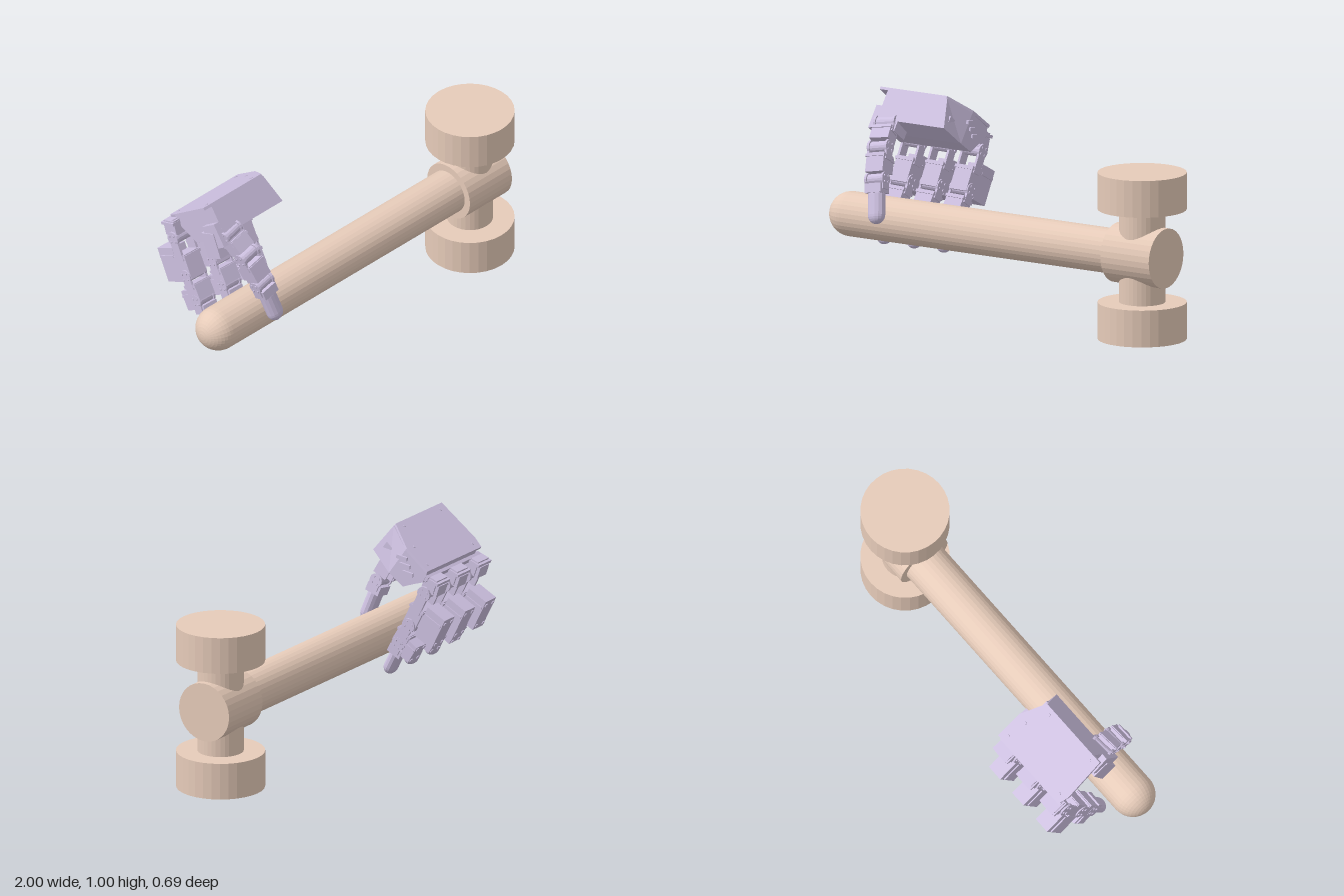
import * as THREE from 'three';

const tan = new THREE.MeshStandardMaterial({ color: 0xe6cbb9, flatShading: true });
const lilac = new THREE.MeshStandardMaterial({ color: 0xcdc0e0, flatShading: true });
const V = (x, y, z) => new THREE.Vector3(x, y, z);

function add(parent, name, geo, mat, x = 0, y = 0, z = 0) {
  const m = new THREE.Mesh(geo, mat);
  m.name = name;
  m.position.set(x, y, z);
  parent.add(m);
  return m;
}
const box = (p, name, sx, sy, sz, x, y, z) =>
  add(p, name, new THREE.BoxGeometry(sx, sy, sz), lilac, x, y, z);
const pin = (p, name, r, len, x, y, z, sides = 16) =>
  add(p, name, new THREE.CylinderGeometry(r, r, len, sides).rotateZ(Math.PI / 2), lilac, x, y, z);

// Group at a whose y axis runs to b; z points to the outer side of a hanging finger
function bone(parent, name, a, b) {
  const y = b.clone().sub(a);
  const length = y.length();
  y.normalize();
  const x = V(1, 0, 0).addScaledVector(y, -y.x).normalize();
  const g = new THREE.Group();
  g.name = name;
  g.position.copy(a);
  g.quaternion.setFromRotationMatrix(new THREE.Matrix4().makeBasis(x, y, V(0, 0, 0).crossVectors(x, y)));
  parent.add(g);
  return { g, length };
}

// Hinge with side cheeks and horn discs at the start of a bone
function hinge(g, w, r, reach) {
  pin(g, 'hingePin', r * 0.8, w * 0.86, 0, 0, 0);
  for (const s of [-1, 1]) {
    pin(g, 'hornDisc', r, 0.012, s * w * 0.46, 0, 0);
    box(g, 'cheek', 0.012, reach, r * 1.5, s * w * 0.46, reach / 2, 0);
    for (let i = 0; i < 4; i++) {
      const t = Math.PI * (i / 2 + 0.25);
      pin(g, 'hornBolt', 0.006, 0.006, s * (w * 0.46 + 0.008), Math.cos(t) * r * 0.6, Math.sin(t) * r * 0.6, 6);
    }
  }
}

// Link with a body block and an optional motor; spans are [start, end] along the bone
function link(parent, name, a, b, o) {
  const { g } = bone(parent, name, a, b);
  hinge(g, o.w, 0.036, o.body[0] + 0.03);
  const [b0, b1] = o.body;
  box(g, 'body', o.w * 0.92, b1 - b0, 0.075, 0, (b0 + b1) / 2, 0);
  box(g, 'bodyFlange', o.w, 0.014, 0.085, 0, b0 + 0.012, 0);
  if (o.motor) {
    const [m0, m1, n0, n1] = o.motor;
    const my = (m0 + m1) / 2, mz = (n0 + n1) / 2;
    box(g, 'motor', o.w * 0.8, m1 - m0, n1 - n0, 0, my, mz);
    box(g, 'motorFlange', o.w * 0.92, 0.012, (n1 - n0) * 0.9, 0, m0 + (m1 - m0) * 0.25, mz);
    box(g, 'motorMount', o.w * 0.7, (m1 - m0) * 0.5, 0.03, 0, my, n0 - 0.005);
    for (const s of [-1, 1])
      for (const t of [-1, 1])
        box(g, 'motorScrew', 0.014, 0.014, 0.01, s * o.w * 0.26, my + t * (m1 - m0) * 0.36, n1);
  }
  return g;
}

// Rounded end link
function tip(parent, name, a, b, w) {
  const { g, length } = bone(parent, name, a, b);
  hinge(g, w, 0.034, 0.05);
  box(g, 'tipBase', w * 0.9, 0.045, 0.075, 0, 0.045, 0);
  const r = w * 0.44;
  const cap = add(g, 'tipPad', new THREE.CapsuleGeometry(r, length - 0.05 - r, 6, 14), lilac, 0, (length + 0.05) / 2, 0);
  cap.scale.z = 0.8;
  return g;
}

function buildHammer() {
  const g = new THREE.Group();
  g.name = 'hammer';
  g.position.set(0, 0.404, 0.137);
  const bar = (name, r, x0, x1) =>
    add(g, name, new THREE.CylinderGeometry(r, r, x1 - x0, 32).rotateZ(Math.PI / 2), tan, (x0 + x1) / 2);
  bar('handle', 0.108, -0.892, 0.66);
  add(g, 'handleEnd', new THREE.SphereGeometry(0.108, 32, 10, 0, Math.PI * 2, 0, Math.PI / 2).rotateZ(Math.PI / 2), tan, -0.892);
  bar('collar', 0.144, 0.645, 0.925);
  add(g, 'neck', new THREE.CylinderGeometry(0.11, 0.11, 0.5, 32), tan, 0.787);
  for (const s of [-1, 1])
    add(g, 'hammerFace', new THREE.CylinderGeometry(0.212, 0.212, 0.178, 32), tan, 0.787, s * 0.314);
  return g;
}

function buildPalm() {
  const g = new THREE.Group();
  g.name = 'palm';
  g.position.set(0, 1.0, -0.02);
  g.rotation.x = -0.626;

  // Side profile run across the hand, narrowed towards the wrist
  const side = [[0, 0.012], [0.14, 0.012], [0.295, 0.012], [0.305, 0.07], [0.27, 0.12], [0.237, 0.172], [0.14, 0.176], [0, 0.165]];
  const shape = new THREE.Shape(side.map(([u, v]) => new THREE.Vector2(-u, -v)));
  const body = new THREE.ExtrudeGeometry(shape, { depth: 0.41, bevelEnabled: false });
  body.rotateY(-Math.PI / 2).translate(-0.378, 0, 0);
  const p = body.attributes.position;
  for (let i = 0; i < p.count; i++) {
    const wrist = Math.max(0, 1 + p.getZ(i) / 0.14);
    const high = 1 + p.getY(i) / 0.18;
    if (p.getX(i) > -0.5) p.setX(i, p.getX(i) - wrist * (0.02 + 0.05 * high));
  }
  body.computeVertexNormals();
  add(g, 'palmBody', body, lilac);

  // Cover plate overhanging the thumb side
  const cover = new THREE.Shape([[-0.835, 0], [-0.45, 0], [-0.378, 0.14], [-0.37, 0.295], [-0.82, 0.295], [-0.835, 0.24]]
    .map(([x, u]) => new THREE.Vector2(x, u)));
  add(g, 'backPlate', new THREE.ExtrudeGeometry(cover, { depth: 0.014, bevelEnabled: false }).rotateX(-Math.PI / 2), lilac, 0, -0.014, 0);
  for (const [x, u] of [[-0.79, 0.03], [-0.49, 0.03], [-0.79, 0.26], [-0.41, 0.26], [-0.43, 0.15]])
    add(g, 'plateScrew', new THREE.CylinderGeometry(0.008, 0.008, 0.006, 8), lilac, x, 0, -u);

  // Outer side relief and edge rail above the knuckles
  for (let i = 0; i < 3; i++)
    box(g, 'sideRib', 0.014, 0.018, 0.06, -0.375, -0.055 - i * 0.02, -0.15 - i * 0.035).rotation.x = 0.5;
  box(g, 'sideBoss', 0.03, 0.055, 0.05, -0.425, -0.115, -0.055);
  box(g, 'knuckleRail', 0.44, 0.03, 0.02, -0.6, -0.045, -0.305);
  return g;
}

function buildFinger(x) {
  const g = new THREE.Group();
  g.name = 'finger';
  const w = 0.105;
  const pts = [V(x, 0.705, -0.225), V(x - 0.004, 0.53, -0.135), V(x - 0.008, 0.42, -0.065), V(x - 0.012, 0.268, 0.014)];

  // Knuckle bracket reaching down from the palm edge
  const { g: k } = bone(g, 'knuckle', V(x, 0.79, -0.255), pts[0]);
  box(k, 'knuckleBlock', w * 0.85, 0.075, 0.07, 0, 0.035, 0.008);
  box(k, 'knuckleCap', w, 0.014, 0.085, 0, 0.012, 0.014);
  box(k, 'knuckleMotor', w * 0.7, 0.06, 0.03, 0, 0.05, 0.045);

  link(g, 'lowerLink', pts[0], pts[1], { w, body: [0.085, 0.21], motor: [0.052, 0.227, 0.045, 0.155] });
  link(g, 'middleLink', pts[1], pts[2], { w, body: [0.04, 0.125], motor: [0.072, 0.172, 0.035, 0.092] });
  tip(g, 'fingertip', pts[2], pts[3], w * 0.9);
  return g;
}

function buildThumb() {
  const g = new THREE.Group();
  g.name = 'thumb';
  const pts = [V(-0.74, 0.85, 0.065), V(-0.715, 0.75, 0.155), V(-0.685, 0.61, 0.225), V(-0.648, 0.43, 0.283)];
  const base = box(g, 'thumbMount', 0.15, 0.12, 0.1, -0.745, 0.845, 0.03);
  base.rotation.x = -0.626;
  box(g, 'thumbMotor', 0.07, 0.13, 0.09, -0.79, 0.79, 0.02).rotation.x = -0.4;
  link(g, 'thumbBaseLink', pts[0], pts[1], { w: 0.11, body: [0.03, 0.105] });
  link(g, 'thumbMiddleLink', pts[1], pts[2], { w: 0.105, body: [0.035, 0.13], motor: [0.04, 0.12, 0.035, 0.065] });
  tip(g, 'thumbTip', pts[2], pts[3], 0.1);
  return g;
}

export function createModel() {
  const model = new THREE.Group();
  model.name = 'handHoldingHammer';
  const hand = new THREE.Group();
  hand.name = 'roboticHand';
  hand.add(buildPalm(), buildThumb());
  for (const x of [-0.783, -0.61, -0.438]) hand.add(buildFinger(x));
  model.add(buildHammer(), hand);
  return model;
}
